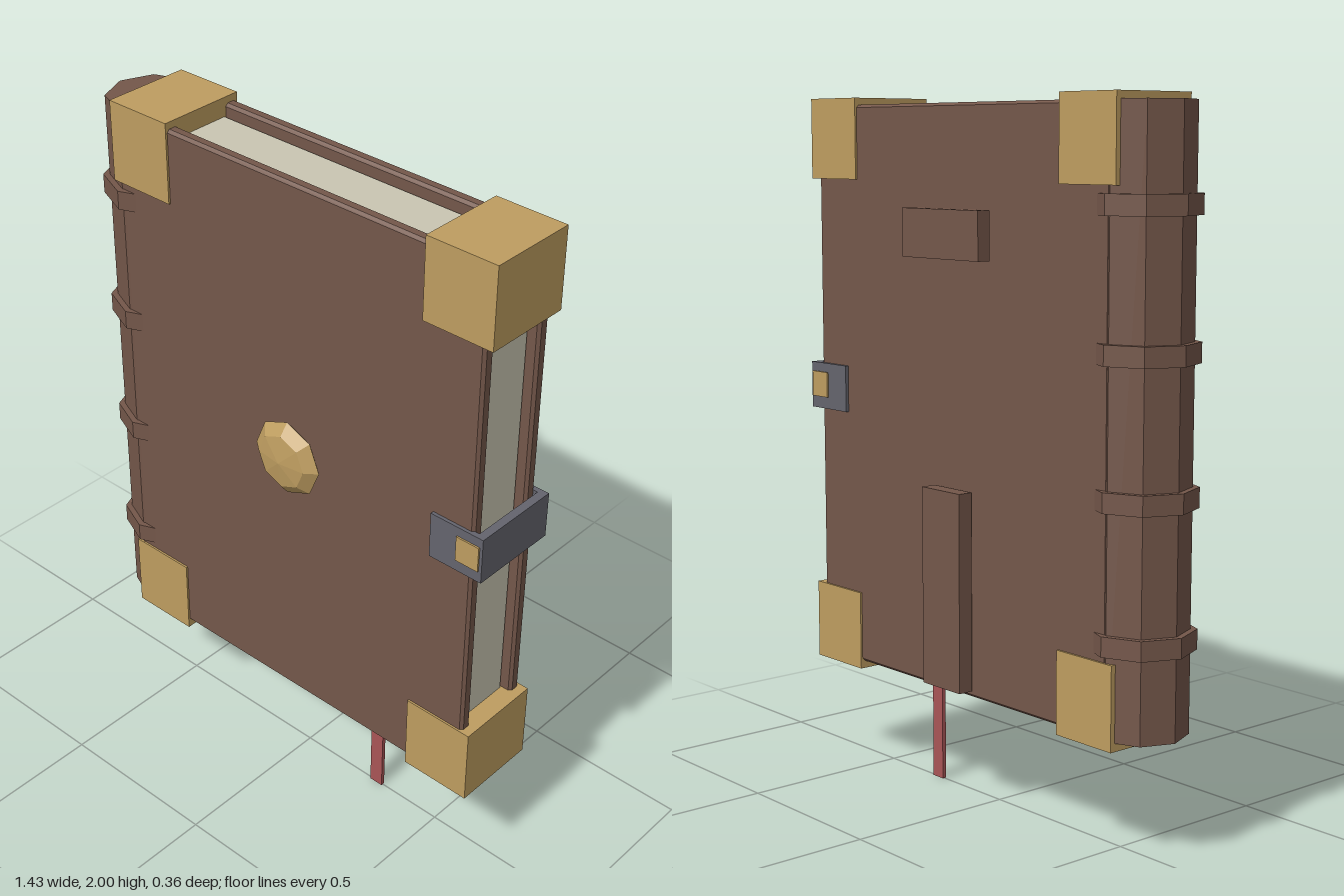
import * as THREE from 'three';

const flat = (name, color) => {
  const m = new THREE.MeshStandardMaterial({ color });
  m.name = name;
  m.flatShading = true;
  return m;
};

export function createModel() {
  const book = new THREE.Group();
  book.name = 'book';

  const leather = flat('leather', 0x74574a);
  const paper = flat('paper', 0xcac6b2);
  const brass = flat('brass', 0xbe9d60);
  const steel = flat('steel', 0x64646d);
  const silk = flat('silk', 0xa95556);

  const add = (name, geometry, material) => {
    const mesh = new THREE.Mesh(geometry, material);
    mesh.name = name;
    book.add(mesh);
    return mesh;
  };

  // Box given by its extents on each axis
  const box = (name, material, [x0, x1], [y0, y1], [z0, z1]) =>
    add(name, new THREE.BoxGeometry(x1 - x0, y1 - y0, z1 - z0), material)
      .position.set((x0 + x1) / 2, (y0 + y1) / 2, (z0 + z1) / 2);

  // Page block
  box('pages', paper, [-0.55, 0.64], [0.37, 1.945], [-0.083, 0.083]);

  // Two boards with small bevels
  const x0 = -0.57, x1 = 0.672, y0 = 0.335, y1 = 1.98, b = 0.008;
  const board = new THREE.Shape([
    new THREE.Vector2(x0 + b, y0 + b), new THREE.Vector2(x1 - b, y0 + b),
    new THREE.Vector2(x1 - b, y1 - b), new THREE.Vector2(x0 + b, y1 - b),
  ]);
  const boardGeometry = new THREE.ExtrudeGeometry(board, {
    depth: 0.021, bevelEnabled: true, bevelThickness: b, bevelSize: b, bevelSegments: 1,
  });
  add('frontCover', boardGeometry, leather).position.z = 0.097;
  add('backCover', boardGeometry, leather).position.z = -0.118;

  // Eight-sided spine with raised bands
  add('spine', new THREE.CylinderGeometry(0.128, 0.128, y1 - y0, 8), leather)
    .position.set(-0.57, (y0 + y1) / 2, 0);
  for (let i = 0; i < 4; i++) {
    add('spineBand', new THREE.CylinderGeometry(0.146, 0.146, 0.055, 8), leather)
      .position.set(-0.57, 0.592 + i * 0.376, 0);
  }

  // Brass corners
  for (const xs of [[-0.595, -0.385], [0.485, 0.7]]) {
    for (const ys of [[0.312, 0.545], [1.768, 2]]) {
      box('corner', brass, xs, ys, [-0.132, 0.132]);
    }
  }

  // Faceted boss on the front cover
  const bossGeometry = new THREE.SphereGeometry(0.115, 8, 4);
  bossGeometry.rotateX(Math.PI / 2).scale(1, 1, 0.33);
  add('boss', bossGeometry, brass).position.set(0.042, 1.157, 0.137);

  // Clasp wrapping the fore edge, with a stud on each side
  box('claspStrap', steel, [0.685, 0.71], [1.085, 1.222], [-0.136, 0.136]);
  for (const s of [-1, 1]) {
    const z = (a, c) => (s > 0 ? [a, c] : [-c, -a]);
    box('claspPlate', steel, [0.54, 0.685], [1.085, 1.222], z(0.12, 0.136));
    box('claspStud', brass, [0.628, 0.701], [1.12, 1.195], z(0.134, 0.141));
  }

  // Raised panels behind the back cover
  box('upperBackPanel', leather, [-0.12, 0.206], [1.56, 1.695], [-0.179, -0.138]);
  box('lowerBackPanel', leather, [-0.04, 0.122], [0.357, 0.922], [-0.181, -0.136]);

  // Ribbon bookmark
  box('ribbon', silk, [0.253, 0.297], [0, 0.45], [-0.006, 0.006]);

  return book;
}
